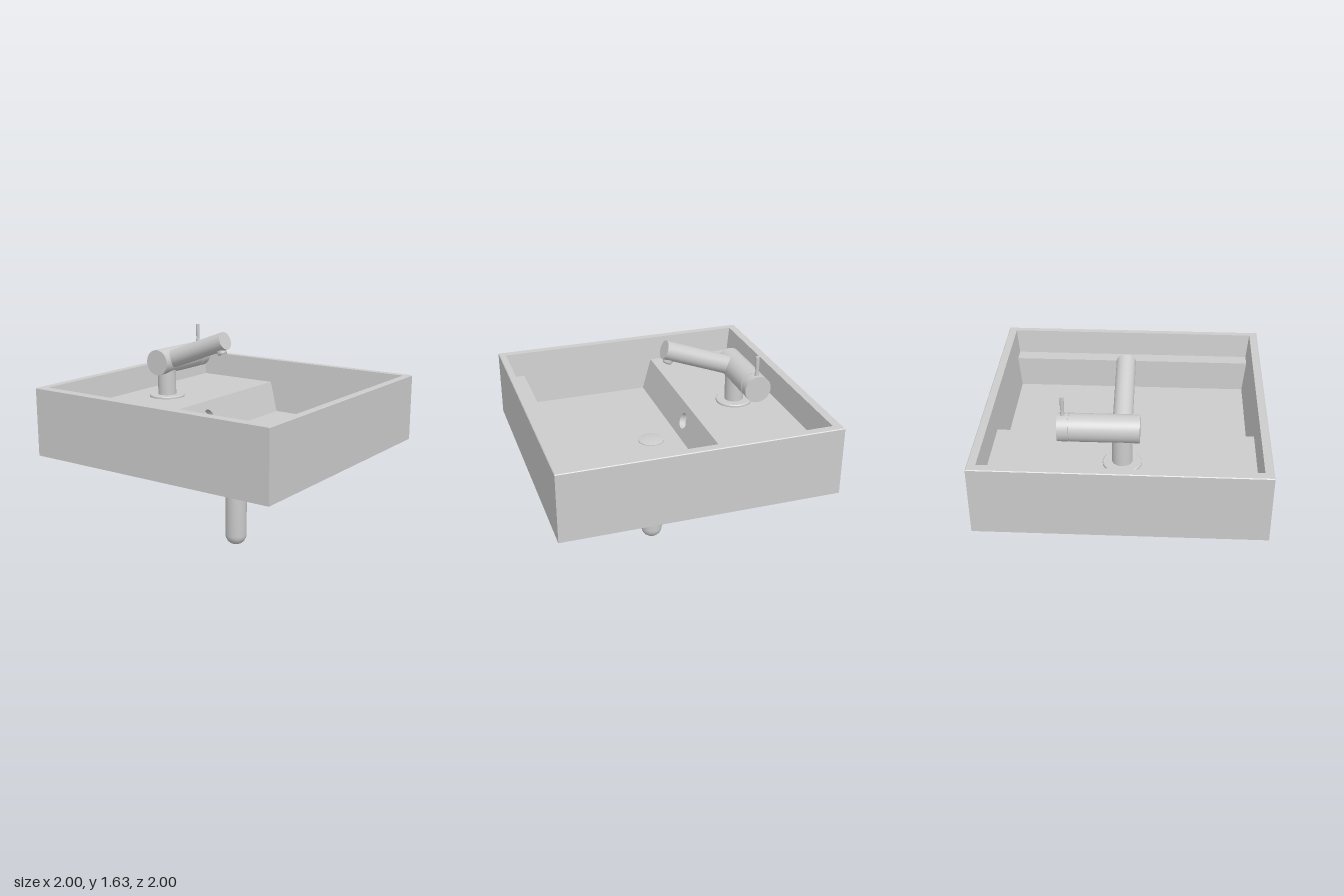
import * as THREE from 'three';
import { toCreasedNormals } from 'three/addons/utils/BufferGeometryUtils.js';

const solid = new THREE.MeshStandardMaterial({ color: 0xcccccc });
const shell = new THREE.MeshStandardMaterial({ color: 0xcccccc, side: THREE.DoubleSide });

function add(parent, name, geometry, material = solid) {
  const mesh = new THREE.Mesh(geometry, material);
  mesh.name = name;
  parent.add(mesh);
  return mesh;
}

// Turned part from [radius, height] pairs, bottom to top, with crisp edges
function turned(points, segments = 40) {
  const geo = new THREE.LatheGeometry(points.map(([r, y]) => new THREE.Vector2(r, y)), segments);
  return toCreasedNormals(geo, 0.6);
}

// Flat-shaded surface from polygons of 3 or 4 corners, counter-clockwise
function facets(polygons) {
  const pos = [];
  for (const p of polygons) {
    for (let i = 1; i < p.length - 1; i++) pos.push(...p[0], ...p[i], ...p[i + 1]);
  }
  const geo = new THREE.BufferGeometry();
  geo.setAttribute('position', new THREE.Float32BufferAttribute(pos, 3));
  geo.computeVertexNormals();
  return geo;
}

const TOP = 1.27, BOTTOM = 0.765, LEDGE = 1.085, FLOOR = 0.85;
const halfWidth = (y) => 0.94 - 0.1 * (TOP - y);

function createBasin() {
  const basin = new THREE.Group();
  basin.name = 'basin';

  // Outer walls and rim: rectangular loops joined in sequence
  const loop = (x, z0, z1, y) => [[-x, y, z1], [x, y, z1], [x, y, z0], [-x, y, z0]];
  const loops = [
    loop(1, -1, 1, BOTTOM), loop(1, -1, 1, TOP - 0.005),
    loop(0.995, -0.995, 0.995, TOP), loop(0.94, -0.935, 0.95, TOP),
  ];
  const outer = [[...loops[0]].reverse()];
  for (let k = 0; k < loops.length - 1; k++) {
    for (let i = 0; i < 4; i++) {
      const j = (i + 1) % 4;
      outer.push([loops[k][i], loops[k][j], loops[k + 1][j], loops[k + 1][i]]);
    }
  }
  add(basin, 'outerShell', facets(outer), shell);

  // Inside profile (z, y) from back to front: back ledge, bowl, front ledge
  const profile = [
    [-0.935, TOP], [-0.91, LEDGE], [-0.235, LEDGE], [-0.16, FLOOR],
    [0.81, FLOOR], [0.82, LEDGE], [0.93, LEDGE], [0.95, TOP],
  ];
  const at = ([z, y], side) => [side * halfWidth(y), y, z];
  const inner = [];
  for (let i = 0; i < profile.length - 1; i++) {
    if (i === 2) continue; // the slope is a separate panel with a hole
    const a = profile[i], b = profile[i + 1];
    inner.push([at(b, -1), at(b, 1), at(a, 1), at(a, -1)]);
  }
  const outline = profile.map(([z, y]) => new THREE.Vector2(z, y));
  for (const [a, b, c] of THREE.ShapeUtils.triangulateShape(outline, [])) {
    inner.push([a, b, c].map((i) => at(profile[i], 1)));
    inner.push([c, b, a].map((i) => at(profile[i], -1)));
  }
  add(basin, 'innerBowl', facets(inner), shell);

  // Sloped panel with the overflow hole
  const run = 0.075, rise = LEDGE - FLOOR, length = Math.hypot(run, rise);
  const low = halfWidth(FLOOR), high = halfWidth(LEDGE), radius = 0.06;
  const shape = new THREE.Shape([[-low, 0], [low, 0], [high, length], [-high, length]]
    .map(([x, y]) => new THREE.Vector2(x, y)));
  shape.holes.push(new THREE.Path().absarc(0, length / 2, radius, 0, Math.PI * 2, true));
  const slope = new THREE.Group();
  slope.name = 'slope';
  slope.position.set(0, FLOOR, -0.16);
  slope.rotation.x = -Math.atan2(run, rise);
  add(slope, 'slopePanel', new THREE.ShapeGeometry(shape, 24), shell);
  const tube = new THREE.CylinderGeometry(radius, radius, 0.05, 32, 1, true).rotateX(Math.PI / 2);
  add(slope, 'overflowTube', tube, shell).position.set(0, length / 2, -0.025);
  add(slope, 'overflowBack', new THREE.CircleGeometry(radius, 32), shell).position.set(0, length / 2, -0.05);
  basin.add(slope);
  return basin;
}

function createTap() {
  const tap = new THREE.Group();
  tap.name = 'tap';
  tap.position.z = -0.6;

  add(tap, 'neck', turned([
    [0.135, LEDGE], [0.135, LEDGE + 0.012], [0.128, LEDGE + 0.018],
    [0.07, LEDGE + 0.018], [0.07, 1.36],
  ]));

  // Horizontal body with a groove before the turning end cap
  const body = turned([
    [0, -0.12], [0.097, -0.12], [0.097, 0.352], [0.09, 0.352],
    [0.09, 0.36], [0.097, 0.36], [0.097, 0.435], [0, 0.435],
  ], 48);
  add(tap, 'body', body.rotateZ(-Math.PI / 2)).position.y = 1.363;

  add(tap, 'lever', turned([
    [0.016, 1.44], [0.016, 1.465], [0.011, 1.49], [0.014, 1.51], [0.014, 1.6], [0, 1.6],
  ], 20)).position.x = 0.4;

  // Rising spout with the aerator under its tip
  const spout = new THREE.Group();
  spout.name = 'spout';
  spout.position.y = 1.36;
  spout.rotation.x = THREE.MathUtils.degToRad(69.5);
  add(spout, 'spoutTube', turned([[0.068, 0], [0.068, 0.592], [0, 0.592]]));
  const aerator = turned([[0.037, 0.04], [0.037, 0.082], [0.03, 0.092], [0.026, 0.092], [0.026, 0.08], [0, 0.08]], 28);
  add(spout, 'aerator', aerator.rotateX(Math.PI / 2)).position.y = 0.535;
  tap.add(spout);
  return tap;
}

function createDrain() {
  const drain = new THREE.Group();
  drain.name = 'drain';
  drain.position.z = 0.056;

  add(drain, 'plug', turned([
    [0.097, FLOOR], [0.097, FLOOR + 0.005], [0.07, FLOOR + 0.011], [0.035, FLOOR + 0.014], [0, FLOOR + 0.015],
  ]));

  // Trap with rounded bottom and two raised rings
  const R = 0.082, N = 0.07, points = [];
  for (let i = 0; i <= 8; i++) {
    const a = (i / 8) * Math.PI / 2;
    points.push([R * Math.sin(a), R * (1 - Math.cos(a))]);
  }
  points.push(
    [R, 0.466], [N, 0.466], [N, 0.477], [R, 0.477], [R, 0.52], [N, 0.52],
    [N, 0.541], [R, 0.541], [R, 0.584], [N, 0.584], [N, 0.603], [R, 0.603], [R, BOTTOM],
  );
  add(drain, 'trap', turned(points));

  // Pull rod with collar and flared knob, reaching to the right side
  const rod = turned([
    [0.024, 0.06], [0.024, 0.135], [0.03, 0.135], [0.03, 0.165], [0.005, 0.165],
    [0.005, 0.57], [0.01, 0.57], [0.024, 0.62], [0, 0.62],
  ], 20);
  add(drain, 'pullRod', rod.rotateZ(Math.PI / 2)).position.y = 0.659;
  return drain;
}

export function createModel() {
  const model = new THREE.Group();
  model.name = 'washbasin';
  model.add(createBasin(), createTap(), createDrain());
  return model;
}
